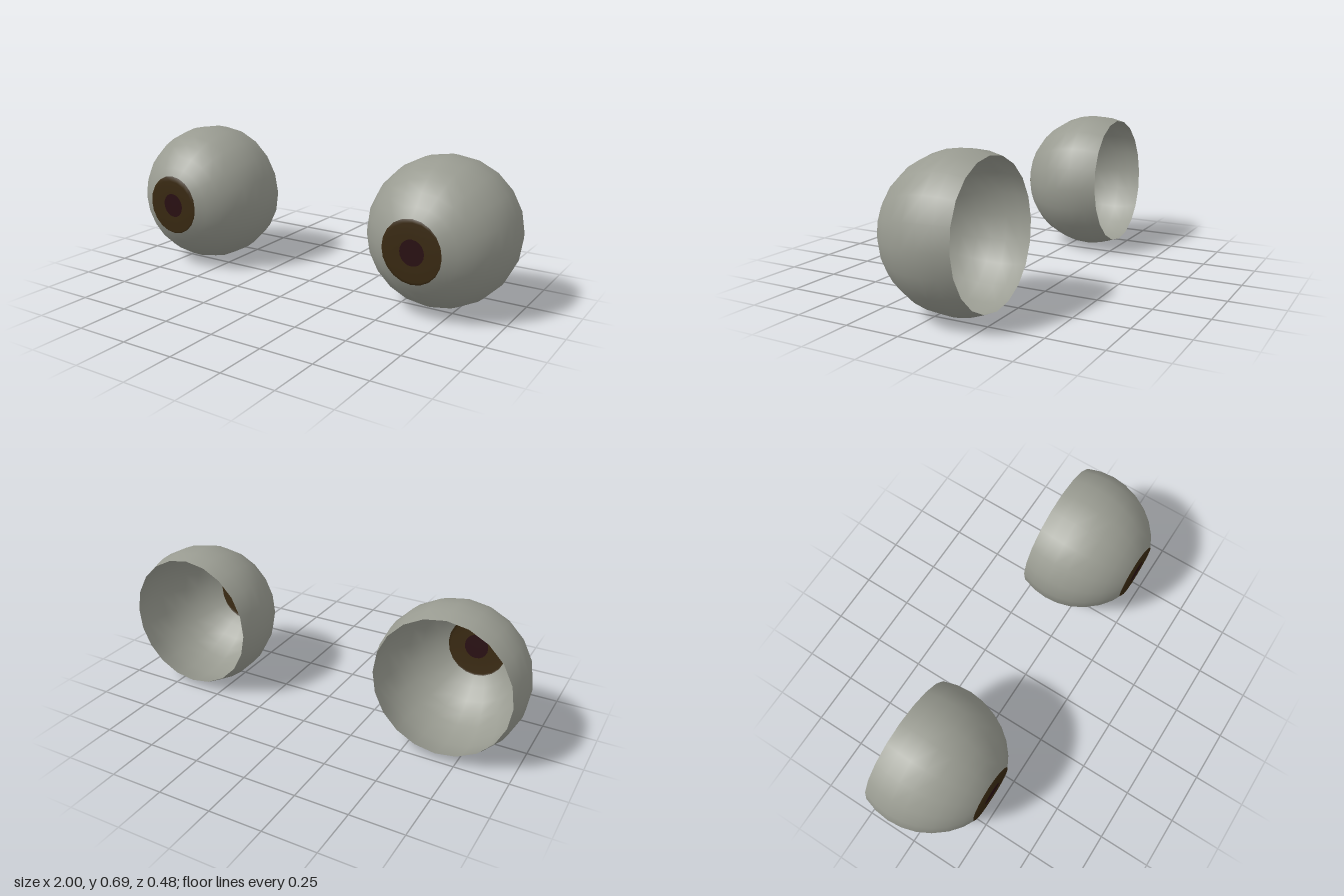
import * as THREE from 'three';

const R = 0.343, DEPTH = 1.028, SIDES = 20;   // ball radius, stretch along its axis, facets around
const IRIS = 0.143, PUPIL = 0.058;            // radii of the painted rings
const ring = (i) => {                         // ring i, counted from the front pole in steps of 11.25 degrees
  const a = (i * Math.PI) / 16;
  return new THREE.Vector2(R * Math.sin(a), R * DEPTH * Math.cos(a));
};
const RIM = ring(2), NEXT = ring(3);

// height of the flattened front at a given distance from the axis
const frontHeight = (r) =>
  r <= RIM.x ? RIM.y : RIM.y + ((r - RIM.x) / (NEXT.x - RIM.x)) * (NEXT.y - RIM.y);
const frontPoint = (r) => new THREE.Vector2(r, frontHeight(r));

// turns a profile around +z, then shifts the painted rings into place
function turned(points, offsets) {
  const geometry = new THREE.LatheGeometry(points, SIDES);
  geometry.rotateX(Math.PI / 2);
  const p = geometry.attributes.position;
  for (let i = 0; i < p.count; i++) {
    const r = Math.hypot(p.getX(i), p.getY(i));
    for (const { radius, dx, dy } of offsets) {
      if (Math.abs(r - radius) > 0.001) continue;
      const x = p.getX(i) * 0.98 + dx, y = p.getY(i) * 1.02 + dy;
      p.setXYZ(i, x, y, frontHeight(Math.hypot(x, y)));
    }
  }
  return geometry;
}

export function createModel() {
  const material = (name, color) => {
    const m = new THREE.MeshStandardMaterial({ color, side: THREE.DoubleSide });
    m.name = name;
    return m;
  };
  const grey = material('eyeball grey', 0x999b91);
  const brown = material('iris brown', 0x3a2a12);
  const dark = material('pupil dark red', 0x2a1013);

  // open shell from the back edge to the edge of the iris
  const shell = [];
  for (let i = 10; i >= 3; i--) shell.push(ring(i));
  shell.push(frontPoint(IRIS));
  const iris = [frontPoint(IRIS), RIM, frontPoint(PUPIL)];
  const pupil = [frontPoint(PUPIL), frontPoint(0)];

  const model = new THREE.Group();
  model.name = 'eyes';

  function addEye(name, x, dx, dy) {
    const eye = new THREE.Group();
    eye.name = name;
    const offsets = [
      { radius: IRIS, dx, dy },
      { radius: PUPIL, dx: dx + 0.005, dy },
    ];
    const parts = [['eyeball', shell, grey], ['iris', iris, brown], ['pupil', pupil, dark]];
    for (const [part, profile, mat] of parts) {
      const mesh = new THREE.Mesh(turned(profile, offsets), mat);
      mesh.name = part;
      eye.add(mesh);
    }
    eye.position.set(x, R, -0.09);
    eye.rotation.x = 0.041;                   // looks slightly down
    model.add(eye);
  }
  addEye('leftEye', 0.657, -0.008, 0);
  addEye('rightEye', -0.657, 0, 0.008);
  return model;
}
